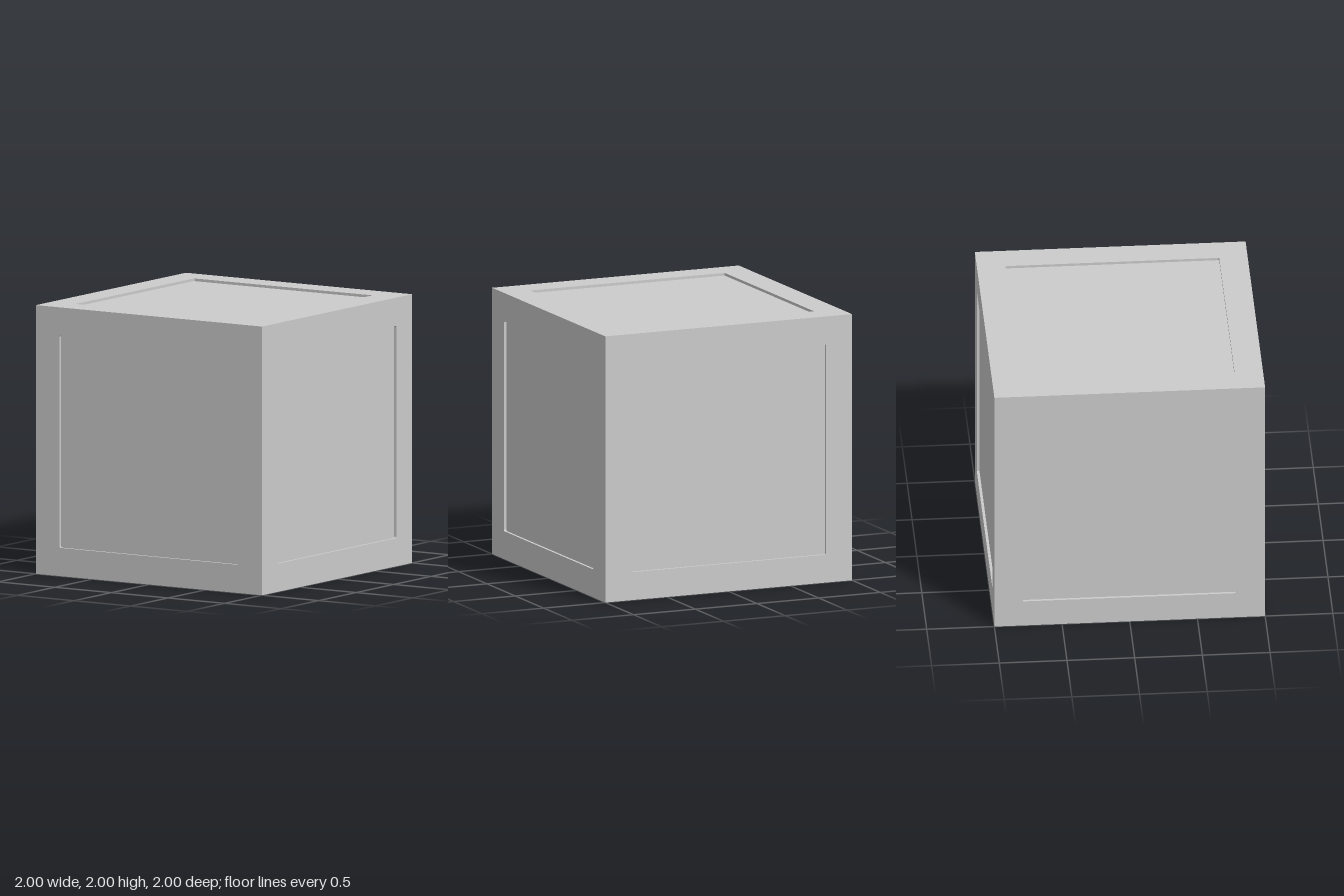
import * as THREE from 'three';

const HALF = 1, INSET = 0.79, RADIUS = 0.012, DEPTH = 0.02;

// Rounded square outline, counter-clockwise
function roundedSquare(h, r) {
  const s = new THREE.Shape();
  const k = h - r;
  s.absarc(k, k, r, 0, Math.PI / 2);
  s.absarc(-k, k, r, Math.PI / 2, Math.PI);
  s.absarc(-k, -k, r, Math.PI, Math.PI * 1.5);
  s.absarc(k, -k, r, Math.PI * 1.5, Math.PI * 2);
  s.closePath();
  return s;
}

// Inward-facing wall of the recess, from the face down to the panel
function recessWall(points) {
  const pos = [];
  points.forEach((p, i) => {
    const q = points[(i + 1) % points.length];
    if (p.distanceTo(q) < 1e-6) return;
    const lo = HALF - DEPTH;
    pos.push(p.x, p.y, HALF, q.x, q.y, HALF, q.x, q.y, lo);
    pos.push(p.x, p.y, HALF, q.x, q.y, lo, p.x, p.y, lo);
  });
  const g = new THREE.BufferGeometry();
  g.setAttribute('position', new THREE.Float32BufferAttribute(pos, 3));
  g.computeVertexNormals();
  return g;
}

export function createModel() {
  const model = new THREE.Group();
  model.name = 'panelledCube';
  const material = new THREE.MeshStandardMaterial({ color: 0xcccccc, flatShading: true });

  const recess = roundedSquare(INSET, RADIUS);
  const border = new THREE.Shape([
    new THREE.Vector2(-HALF, -HALF), new THREE.Vector2(HALF, -HALF),
    new THREE.Vector2(HALF, HALF), new THREE.Vector2(-HALF, HALF),
  ]);
  border.holes.push(recess);

  const parts = {
    border: new THREE.ShapeGeometry(border, 4).translate(0, 0, HALF),
    recessWall: recessWall(recess.getPoints(4)),
    panel: new THREE.ShapeGeometry(recess, 4).translate(0, 0, HALF - DEPTH),
  };

  // The same recessed side turned to all six directions
  const q = Math.PI / 2;
  const sides = {
    front: [0, 0], left: [0, q], back: [0, 2 * q], right: [0, -q],
    top: [-q, 0], bottom: [q, 0],
  };
  for (const [name, [rx, ry]] of Object.entries(sides)) {
    const side = new THREE.Group();
    side.name = name + 'Side';
    for (const [part, geometry] of Object.entries(parts)) {
      const mesh = new THREE.Mesh(geometry, material);
      mesh.name = part;
      side.add(mesh);
    }
    side.rotation.set(rx, ry, 0);
    side.position.y = HALF;
    model.add(side);
  }
  return model;
}
